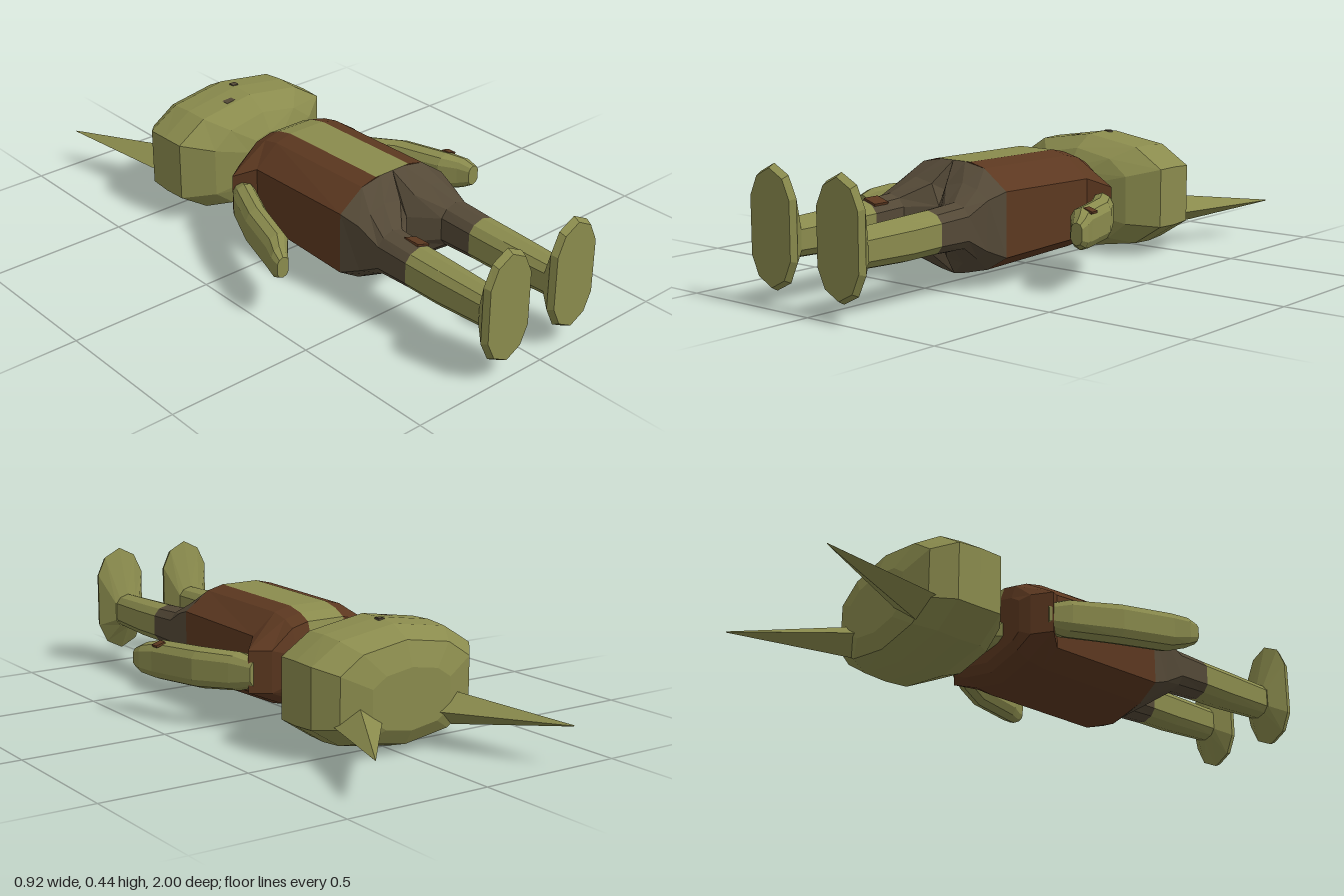
import * as THREE from 'three';

const mat = (name, color) => {
  const m = new THREE.MeshStandardMaterial({ color, flatShading: true });
  m.name = name;
  return m;
};

// Unit cross-section, counter-clockwise, with a ridge at top and bottom
const UNIT = [[1, -.5], [1, .5], [.66, .84], [0, 1], [-.66, .84],
  [-1, .5], [-1, -.5], [-.66, -.84], [0, -1], [.66, -.84]];
const section = (cx, cy, rx, ry) => UNIT.map(([x, y]) => [cx + x * rx, cy + y * ry]);

// Skin a list of [z, points] rings (z increasing); side 0 can use a second material
function loft(name, rings, material, stripe) {
  const flip = THREE.ShapeUtils.area(rings[0][1].map(([x, y]) => new THREE.Vector2(x, y))) < 0;
  const r = rings.map(([z, pts]) => {
    const p = pts.map(([x, y]) => [x, y, z]);
    return flip ? p.reverse() : p;
  });
  const n = r[0].length, first = [], rest = [];
  for (let i = 0; i < r.length - 1; i++) {
    for (let j = 0; j < n; j++) {
      const k = (j + 1) % n, a = r[i][j], b = r[i][k], c = r[i + 1][k], d = r[i + 1][j];
      (j === 0 ? first : rest).push(a, b, c, a, c, d);
    }
  }
  const end = r[r.length - 1];
  for (let j = 1; j < n - 1; j++) {
    rest.push(r[0][0], r[0][j + 1], r[0][j], end[0], end[j], end[j + 1]);
  }
  const g = new THREE.BufferGeometry();
  g.setAttribute('position', new THREE.Float32BufferAttribute([...first, ...rest].flat(), 3));
  g.addGroup(0, first.length, 0);
  g.addGroup(first.length, rest.length, 1);
  g.computeVertexNormals();
  const mesh = new THREE.Mesh(g, [stripe || material, material]);
  mesh.name = name;
  return mesh;
}

// Torso outline: open shirt front is the first side
const torsoRing = (w, top, bot, hi, lo) => [
  [.07, top], [-.07, top], [-.13, top - .015], [-w, hi], [-w, lo], [-.14, bot + .03],
  [0, bot], [.14, bot + .03], [w, lo], [w, hi], [.13, top - .015],
].map(([x, y]) => [x - .01, y]);

export function createModel() {
  const model = new THREE.Group();
  model.name = 'lyingFigure';
  const skin = mat('skinGreen', 0x8a8b4d);
  const shirt = mat('shirtBrown', 0x5c3820);
  const cloth = mat('trouserGrey', 0x544937);
  const X0 = -.01;

  // Torso with open shirt
  model.add(loft('torso', [
    [-.192, torsoRing(.17, .30, .10, .26, .15)],
    [-.175, torsoRing(.21, .35, .07, .27, .13)],
    [-.13, torsoRing(.272, .372, .045, .27, .13)],
    [-.07, torsoRing(.215, .385, .035, .30, .11)],
    [.35, torsoRing(.22, .39, .022, .31, .10)],
  ], shirt, skin));

  // Neck and head
  model.add(loft('neck', [
    [-.30, section(-.013, .185, .055, .035)],
    [-.21, section(-.013, .185, .058, .035)],
    [-.18, section(-.013, .19, .10, .055)],
  ], skin));
  model.add(loft('head', [
    [-.63, section(-.013, .18, .15, .10)],
    [-.60, section(-.013, .195, .25, .165)],
    [-.53, section(-.013, .203, .307, .195)],
    [-.45, section(-.013, .203, .31, .203)],
    [-.37, section(-.013, .203, .307, .20)],
    [-.30, section(-.013, .195, .21, .165)],
    [-.262, section(-.013, .195, .09, .105)],
  ], skin));

  // Pointed ears, slightly uneven
  const diamond = (cx, cy, rx, ry) => [[cx + rx, cy], [cx, cy + ry], [cx - rx, cy], [cx, cy - ry]];
  for (const [name, bx, tx, tz] of [['rightEar', -.195, -.335, -1], ['leftEar', .165, .365, -.945]]) {
    model.add(loft(name, [
      [tz, diamond(tx, .13, .002, .002)],
      [-.60, diamond(bx, .12, .088, .055)],
      [-.55, diamond(bx + Math.sign(bx) * -.015, .12, .088, .055)],
    ], skin));
  }

  // Trouser halves meet on the centre line and narrow to the legs
  const hip = [[.22, .10], [.22, .31], [.13, .375], [.05, .39], [0, .39],
    [0, .28], [0, .12], [0, .022], [.05, .03], [.14, .052]];
  const crotch = [[.20, .13], [.205, .29], [.16, .32], [.10, .335], [.03, .32],
    [0, .25], [0, .16], [.03, .09], [.10, .08], [.16, .10]];
  for (const [side, s] of [['left', 1], ['right', -1]]) {
    const mirror = pts => pts.map(([x, y]) => [X0 + s * x, y]);
    const ring = (cx, cy, rx, ry) => mirror(section(cx, cy, rx, ry));
    model.add(loft(side + 'TrouserLeg', [
      [.35, mirror(hip)],
      [.42, mirror(crotch)],
      [.50, ring(.137, .212, .06, .076)],
      [.62, ring(.137, .21, .058, .07)],
    ], cloth));
    model.add(loft(side + 'Leg', [
      [.62, ring(.137, .21, .058, .07)],
      [.74, ring(.137, .207, .056, .069)],
      [.93, ring(.137, .207, .048, .062)],
    ], skin));
    model.add(loft(side + 'Foot', [
      [.925, ring(.139, .207, .05, .064)],
      [.978, ring(.141, .247, .092, .192)],
      [1, ring(.141, .247, .084, .18)],
    ], skin));
  }

  // Arms, bent out at the elbow; the right one reaches a little lower
  for (const [side, s, drop] of [['left', 1, 0], ['right', -1, .045]]) {
    const ring = (cx, rx, ry) => section(s * cx + X0 * (s < 0 ? .8 : .3), .193, rx, ry);
    model.add(loft(side + 'Arm', [
      [-.14, ring(.235, .03, .045)],
      [-.08, ring(.265, .045, .065)],
      [.03 + drop, ring(.337, .045, .07)],
      [.20 + drop, ring(.392, .044, .068)],
      [.25 + drop, ring(.424, .033, .055)],
      [.284 + drop, ring(.437, .022, .036)],
    ], skin));
  }

  // Thin painted patches
  const patch = (name, m, w, d, x, y, z) => {
    const p = new THREE.Mesh(new THREE.BoxGeometry(w, .008, d), m);
    p.name = name;
    p.position.set(x, y, z);
    model.add(p);
    return p;
  };
  patch('faceSpot', cloth, .022, .022, -.005, .403, -.47);
  patch('mouthSpot', cloth, .035, .045, -.085, .389, -.405).rotation.z = .15;
  patch('kneePatch', shirt, .05, .06, -.125, .276, .585).rotation.z = -.3;
  patch('handPatch', shirt, .035, .03, .412, .252, .185).rotation.z = -.3;

  return model;
}
